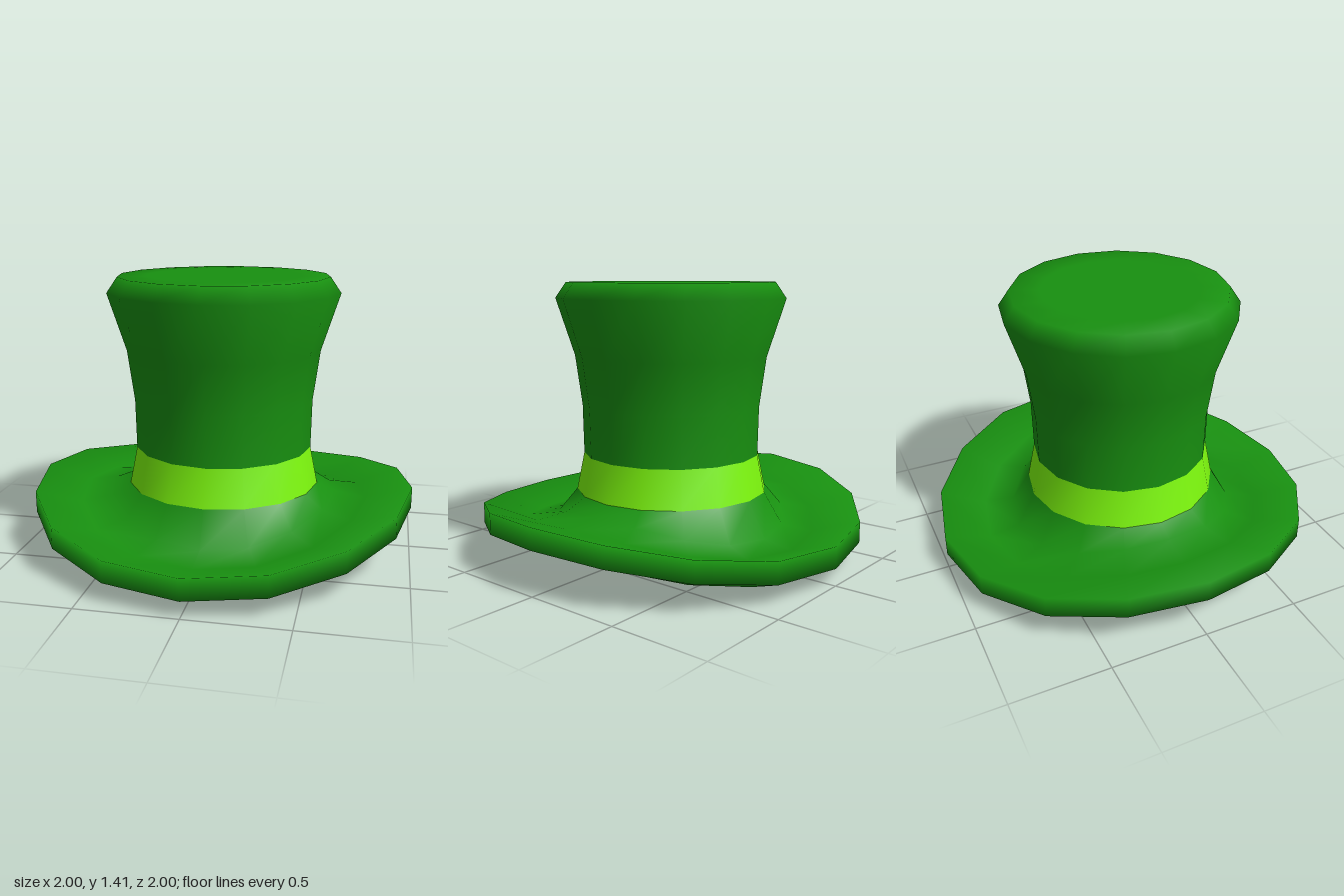
import * as THREE from 'three';

const SIDES = 16;

// Smooth ring loft: profile rows are [radius, height, lift], lift raises the ring towards +-x.
function loft(name, profile, color, side = THREE.FrontSide) {
  const positions = [], index = [];
  for (const [r, y, lift = 0] of profile) {
    for (let i = 0; i < SIDES; i++) {
      const a = (i / SIDES) * Math.PI * 2;
      const s = Math.sin(a);
      positions.push(r * s, y + lift * Math.pow(Math.abs(s), 2.3), r * Math.cos(a));
    }
  }
  for (let j = 0; j < profile.length - 1; j++) {
    for (let i = 0; i < SIDES; i++) {
      const k = (i + 1) % SIDES;
      const a = j * SIDES + i, b = j * SIDES + k;
      const c = a + SIDES, d = b + SIDES;
      index.push(a, b, d, a, d, c);
    }
  }
  // Close a flat top with a fan when the last ring is marked as a cap
  const last = profile[profile.length - 1];
  if (last[3]) {
    const centre = positions.length / 3, start = (profile.length - 1) * SIDES;
    positions.push(0, last[1], 0);
    for (let i = 0; i < SIDES; i++) index.push(start + i, start + (i + 1) % SIDES, centre);
  }
  const geometry = new THREE.BufferGeometry();
  geometry.setAttribute('position', new THREE.Float32BufferAttribute(positions, 3));
  geometry.setIndex(index);
  geometry.computeVertexNormals();
  const mesh = new THREE.Mesh(geometry, new THREE.MeshStandardMaterial({ color, side }));
  mesh.name = name;
  return mesh;
}

export function createModel() {
  const hat = new THREE.Group();
  hat.name = 'topHat';
  const green = 0x189010, lime = 0x7cf60e;

  // Saddle-shaped brim: inner wall, underside, rim, upper side, foot of the crown
  hat.add(loft('brim', [
    [0.495, 0.33], [0.56, 0.15, 0.135], [0.62, 0.04, 0.135],
    [0.66, 0.005, 0.13], [0.79, 0.01, 0.13], [1, 0.09, 0.135],
    [1, 0.2, 0.135], [0.76, 0.13, 0.135], [0.6, 0.155, 0.135], [0.505, 0.33],
  ], green));

  // Ribbon around the foot of the crown, visible from inside too
  hat.add(loft('hatBand', [[0.505, 0.33], [0.465, 0.525]], lime, THREE.DoubleSide));

  // Flared crown with bevelled, closed top
  hat.add(loft('crown', [
    [0.465, 0.525], [0.47, 0.78], [0.505, 1.04], [0.6, 1.335],
    [0.545, 1.415], [0.4, 1.415, 0, true],
  ], green, THREE.DoubleSide));

  return hat;
}
